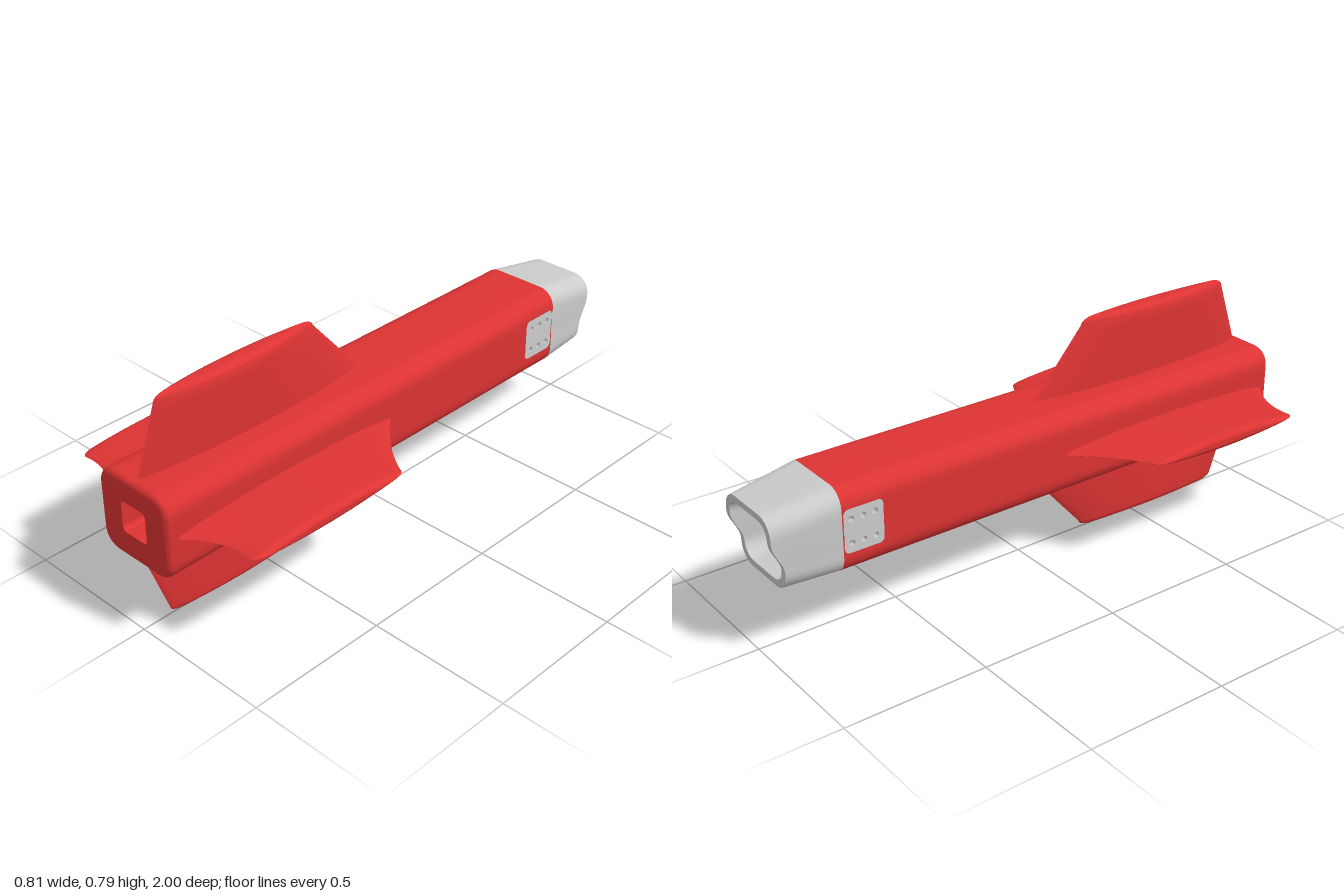
import * as THREE from 'three';
import { toCreasedNormals } from 'three/addons/utils/BufferGeometryUtils.js';

const red = new THREE.MeshStandardMaterial({ color: 0xdd3333 });
const grey = new THREE.MeshStandardMaterial({ color: 0xcccccc });

const W = 0.155, Y0 = 0.25, Y1 = 0.54, R = 0.062; // body section
const SEAM = -0.62, NECK = -0.77;                 // rear end of the full body, start of the nozzle
const FLAT0 = Y0 + R, FLAT1 = Y1 - R;             // flat part of the body sides

function add(parent, name, geometry, material) {
  const m = new THREE.Mesh(geometry, material);
  m.name = name;
  parent.add(m);
  return m;
}

// Skin over a list of equal-length closed rings.
function loft(rings, closed = false, crease = 0.6) {
  const pos = [], idx = [], n = rings[0].length, k = rings.length;
  rings.forEach(r => r.forEach(p => pos.push(p[0], p[1], p[2])));
  for (let j = 0; j < (closed ? k : k - 1); j++) {
    for (let i = 0; i < n; i++) {
      const a = j * n + i, a2 = j * n + (i + 1) % n;
      const b = ((j + 1) % k) * n + i, b2 = ((j + 1) % k) * n + (i + 1) % n;
      idx.push(a, b, a2, a2, b, b2);
    }
  }
  const g = new THREE.BufferGeometry();
  g.setAttribute('position', new THREE.Float32BufferAttribute(pos, 3));
  g.setIndex(idx);
  return toCreasedNormals(g, crease);
}

// Rounded rectangle ring; z is a number or a function of y.
function ring(w, y0, y1, r, z) {
  const pts = [], corners = [];
  const centres = [[w - r, y1 - r], [r - w, y1 - r], [r - w, y0 + r], [w - r, y0 + r]];
  centres.forEach(([cx, cy], q) => {
    for (let i = 0; i <= 6; i++) {
      const a = (q + i / 6) * Math.PI / 2;
      corners.push([cx + r * Math.cos(a), cy + r * Math.sin(a)]);
    }
  });
  corners.forEach((p, i) => {
    const next = corners[(i + 1) % corners.length];
    const steps = i % 7 === 6 ? 8 : 1; // subdivide the straight sides
    for (let s = 0; s < steps; s++) {
      const x = p[0] + (next[0] - p[0]) * s / steps, y = p[1] + (next[1] - p[1]) * s / steps;
      pts.push([x, y, typeof z === 'function' ? z(y) : z]);
    }
  });
  return pts;
}

// Hollow square tube with a softened front edge.
function bodyGeometry() {
  const bore = z => ring(0.055, 0.345, 0.455, 0.015, z);
  const rings = [bore(SEAM), bore(1)], b = 0.02;
  for (let i = 0; i <= 4; i++) {
    const a = i / 4 * Math.PI / 2, d = b * (1 - Math.sin(a));
    rings.push(ring(W - d, Y0 + d, Y1 - d, R - d, 1 - b * (1 - Math.cos(a))));
  }
  rings.push(ring(W, Y0, Y1, R, SEAM));
  return loft(rings, true);
}

// Upper or lower red band beside the inset plates.
function bandGeometry(top) {
  const s = new THREE.Shape(), q = Math.PI / 2;
  if (top) {
    s.moveTo(W, FLAT1);
    s.absarc(W - R, FLAT1, R, 0, q);
    s.absarc(R - W, FLAT1, R, q, 2 * q);
  } else {
    s.moveTo(-W, FLAT0);
    s.absarc(R - W, FLAT0, R, 2 * q, 3 * q);
    s.absarc(W - R, FLAT0, R, 3 * q, 4 * q);
  }
  const g = new THREE.ExtrudeGeometry(s, { depth: SEAM - NECK, bevelEnabled: false, curveSegments: 8 });
  return toCreasedNormals(g.translate(0, 0, NECK), 0.6);
}

function roundedRect(path, x0, x1, y0, y1, r) {
  const q = Math.PI / 2;
  path.moveTo(x1, y1 - r);
  path.absarc(x1 - r, y1 - r, r, 0, q);
  path.absarc(x0 + r, y1 - r, r, q, 2 * q);
  path.absarc(x0 + r, y0 + r, r, 2 * q, 3 * q);
  path.absarc(x1 - r, y0 + r, r, 3 * q, 4 * q);
  return path;
}

// Shape drawn in (-z, y), extruded across one side wall.
function sideWall(shape, side) {
  const g = new THREE.ExtrudeGeometry(shape, { depth: 0.1, bevelEnabled: false, curveSegments: 8 });
  return toCreasedNormals(g.rotateY(Math.PI / 2).translate(side > 0 ? 0.055 : -W, 0, 0), 0.6);
}

// Grey tapered muzzle: stepped rear rim and funnel inside.
function nozzleGeometry() {
  const rim = y => -1 + 0.04 * (1 - THREE.MathUtils.smoothstep(y, 0.32, 0.43));
  return loft([
    ring(W, Y0, Y1, R, NECK),
    ring(0.137, Y0, 0.505, 0.062, rim),
    ring(0.115, Y0 + 0.022, 0.483, 0.05, rim),
    ring(0.107, 0.282, 0.472, 0.05, -0.88),
    ring(0.075, 0.32, 0.445, 0.055, NECK),
  ], true);
}

// Lens-section fin along +y; front and rear are [root z, tip z, bow].
function finGeometry({ root, tip, half, front, rear }) {
  const rings = [], h = 0.025, n = 40;
  const edge = ([a, b, bow], u) => a + (b - a) * u + bow * 4 * Math.max(u, 0) * (1 - u);
  const section = (y, t, inset) => {
    const u = Math.min((y - root) / (tip - h - root), 1);
    const zf = edge(front, u) - inset, zr = edge(rear, u) + inset;
    const pts = [];
    for (let i = 0; i < n; i++) {
      const a = i / n * Math.PI * 2, c = Math.cos(a);
      pts.push([Math.sign(c) * t * Math.abs(c) ** 1.4, y, (zf + zr) / 2 + (zf - zr) / 2 * Math.sin(a)]);
    }
    rings.push(pts);
  };
  section(root - 0.02, half, 0);
  for (let i = 0; i <= 8; i++) section(root + (tip - h - root) * i / 8, half, 0);
  for (let i = 1; i <= 6; i++) {
    const a = i / 6 * Math.PI / 2;
    section(tip - h + h * Math.sin(a), half * Math.cos(a), 0.06 * (1 - Math.cos(a)));
  }
  return loft(rings, false, 0.7);
}

export function createModel() {
  const model = new THREE.Group();
  model.name = 'finnedTube';

  add(model, 'body', bodyGeometry(), red);
  add(model, 'upperBand', bandGeometry(true), red);
  add(model, 'lowerBand', bandGeometry(false), red);
  add(model, 'nozzle', nozzleGeometry(), grey);

  // Inset side plates with two rows of three holes
  for (const side of [1, -1]) {
    const name = side > 0 ? 'left' : 'right';
    const frame = new THREE.Shape();
    frame.moveTo(-SEAM, FLAT0);
    frame.lineTo(-NECK, FLAT0);
    frame.lineTo(-NECK, FLAT1);
    frame.lineTo(-SEAM, FLAT1);
    const rect = [0.625, 0.765, 0.325, 0.475, 0.018];
    frame.holes.push(roundedRect(new THREE.Path(), ...rect));
    add(model, name + 'PlateFrame', sideWall(frame, side), red);

    const plate = roundedRect(new THREE.Shape(), ...rect);
    for (const y of [0.357, 0.44]) {
      for (const u of [0.654, 0.696, 0.738]) {
        plate.holes.push(new THREE.Path().absarc(u, y, 0.01, 0, Math.PI * 2));
      }
      const pin = add(model, name + 'Pin', new THREE.CylinderGeometry(0.01, 0.01, 0.06, 16), red);
      pin.rotation.z = Math.PI / 2;
      pin.position.set(side * 0.105, y, -0.738);
    }
    add(model, name + 'Plate', sideWall(plate, side), grey);

    // Strip joining plate and nozzle
    const strip = add(model, name + 'Strip', new THREE.BoxGeometry(0.1, 0.12, 0.012), grey);
    strip.position.set(side * 0.105, 0.4, -0.766);
  }

  // Four fins around the front half
  const fins = new THREE.Group();
  fins.name = 'fins';
  fins.position.y = 0.402;
  model.add(fins);
  const sideFin = { root: 0.15, tip: 0.403, half: 0.027, front: [0.97, 0.885, -0.03], rear: [0.065, 0.265, 0.02] };
  const specs = [
    ['topFin', 0, { root: 0.138, tip: 0.386, half: 0.039, front: [0.97, 0.895, 0], rear: [0.065, 0.26, 0] }],
    ['bottomFin', Math.PI, { root: 0.152, tip: 0.402, half: 0.031, front: [0.975, 0.895, 0], rear: [0.065, 0.265, 0] }],
    ['leftFin', -Math.PI / 2, sideFin],
    ['rightFin', Math.PI / 2, sideFin],
  ];
  for (const [name, angle, spec] of specs) {
    add(fins, name, finGeometry(spec), red).rotation.z = angle;
  }
  return model;
}
